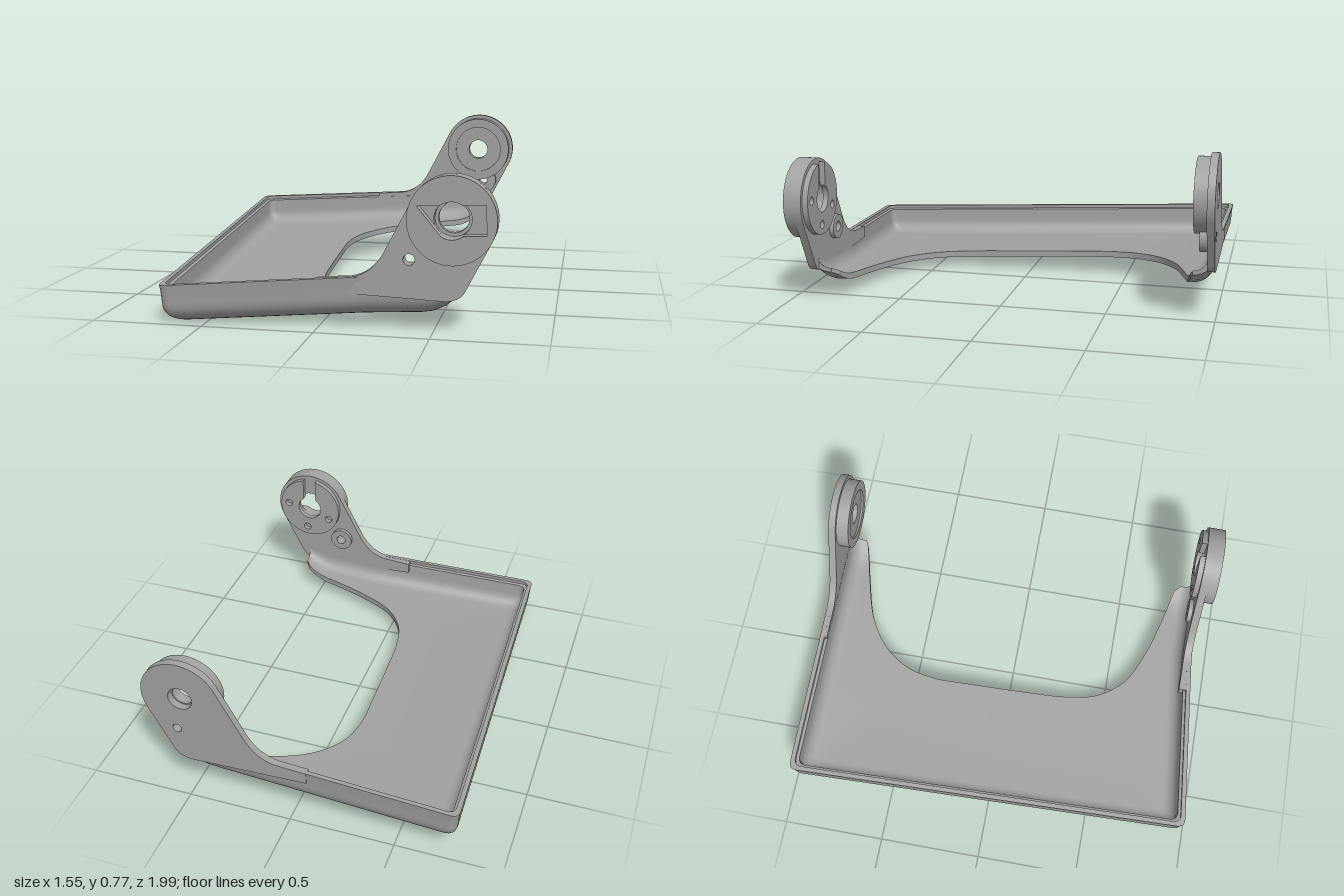
import * as THREE from 'three';
import { toCreasedNormals } from 'three/addons/utils/BufferGeometryUtils.js';

const grey = new THREE.MeshStandardMaterial({ color: 0xa2a2a2 });
grey.name = 'grey plastic';

// the whole tray leans: each step towards the back moves it sideways and up
const leanX = (z) => -0.0425 * (1 - z);
const leanY = (z) => 0.0475 * (1 - z);
const RIM = 0.182, END = 0.6;
const EAR = [0.585, 0.495], EAR_R = 0.19;

function addMesh(parent, name, geometry) {
  const mesh = new THREE.Mesh(toCreasedNormals(geometry, 0.5), grey);
  mesh.name = name;
  parent.add(mesh);
}

// front wall line: tapers in, then runs straight under the ear
const frontWall = (x) => 0.995 - 0.1 * (Math.min(x, 0.2) + 0.7);

// plan outline of the three walls, moved inwards by d
function outline(d) {
  const pts = [], r = 0.04, n = 24, xl = -0.7 + d, zb = -0.995 + d;
  const zf = frontWall(xl) - d;
  const corner = (a, b, c) => {
    const curve = new THREE.QuadraticBezierCurve(a, b, c);
    pts.push(...curve.getPoints(6));
  };
  const V = (x, z) => new THREE.Vector2(x, z);
  for (let i = 0; i < n; i++) pts.push(V(END + (xl + r - END) * i / n, zb));
  corner(V(xl + r, zb), V(xl, zb), V(xl, zb + r));
  for (let i = 1; i < n; i++) pts.push(V(xl, zb + r + (zf - zb - 2 * r) * i / n));
  corner(V(xl, zf - r), V(xl, zf), V(xl + r, frontWall(xl + r) - d));
  for (let i = 1; i <= n; i++) {
    const x = xl + r + (END - xl - r) * i / n;
    pts.push(V(x, frontWall(x) - d));
  }
  return pts;
}

// tray: wall and floor section swept round the outline to the curved cutout
function trayGeometry() {
  const cut = new THREE.CatmullRomCurve3([
    [0.5, -0.885], [0.32, -0.84], [0.12, -0.775], [-0.02, -0.68], [-0.11, -0.55],
    [-0.142, -0.4], [-0.138, -0.2], [-0.125, 0.1], [-0.11, 0.3], [-0.07, 0.46],
    [0.03, 0.59], [0.2, 0.675], [0.38, 0.73], [0.565, 0.775],
  ].map(([x, z]) => new THREE.Vector3(x - leanX(z), 0, z)));

  const outer = [[0, RIM], [0.002, 0.165], [0.003, 0.16]];
  const inner = [[0.022, RIM], [0.022, 0.165], [0.036, 0.16]];
  for (let k = 0; k <= 7; k++) {
    const t = k / 7 * Math.PI / 2, c = Math.cos(t), s = Math.sin(t);
    outer.push([0.1 - 0.092 * c, 0.1 - 0.1 * s]);
    inner.push([0.1 - 0.062 * c, 0.1 - 0.07 * s]);
  }
  outer.push([null, 0]);
  inner.push([null, 0.03]);
  const section = [...outer, ...inner.reverse()];
  const m = section.length, rows = outline(0).length;

  const columns = section.map(([d, h]) => {
    const plan = d === null
      ? Array.from({ length: rows }, (_, i) => {
        const p = cut.getPointAt(i / (rows - 1));
        return new THREE.Vector2(p.x, p.z);
      })
      : outline(d);
    return plan.map((p) => {
      const bend = 0.06 * Math.max(0, (p.x - 0.46) / 0.14) ** 2;
      const y = 0.063 * (p.x + 0.58) + h + bend * (1 - h / RIM);
      return [p.x + leanX(p.y), y + leanY(p.y), p.y];
    });
  });

  const pos = [], index = [];
  for (let i = 0; i < rows; i++) for (let j = 0; j < m; j++) pos.push(...columns[j][i]);
  for (let i = 0; i < rows - 1; i++) {
    for (let j = 0; j < m; j++) {
      const a = i * m + j, b = i * m + (j + 1) % m;
      index.push(a, b, a + m, b, b + m, a + m);
    }
  }
  // end caps
  const last = (rows - 1) * m;
  for (let k = 0; k < m / 2 - 1; k++) {
    const o = k, o2 = k + 1, n = m - 1 - k, n2 = m - 2 - k;
    index.push(o, n, o2, o2, n, n2);
    index.push(last + o, last + o2, last + n, last + o2, last + n2, last + n);
  }
  const g = new THREE.BufferGeometry();
  g.setAttribute('position', new THREE.Float32BufferAttribute(pos, 3));
  g.setIndex(index);
  return g;
}

function circle(x, y, r, Kind = THREE.Path) {
  const p = new Kind();
  p.absarc(x, y, r, 0, Math.PI * 2, false);
  return p;
}

function extrude(shape, z0, z1, holes = []) {
  shape.holes.push(...holes);
  const g = new THREE.ExtrudeGeometry(shape, { depth: z1 - z0, bevelEnabled: false, curveSegments: 40 });
  return g.translate(0, 0, z0);
}

const disc = (x, y, r, z0, z1, holes) => extrude(circle(x, y, r, THREE.Shape), z0, z1, holes);

// arm rising from a side wall to a round ear
function armShape() {
  const [cx, cy] = EAR, a = 0.477;
  const s = new THREE.Shape();
  s.moveTo(0, 0.16);
  s.lineTo(0, 0.217);
  s.lineTo(0.12, 0.225);
  s.quadraticCurveTo(0.225, 0.23, 0.285, 0.33);
  s.absarc(cx, cy, EAR_R, Math.PI - a, -a, true);
  s.lineTo(0.64, 0.185);
  s.quadraticCurveTo(0.615, 0.14, 0.55, 0.14);
  return s;
}

// round hole crossed by a rectangular pocket
function pocket() {
  const r = 0.08, w = 0.145, h = 0.065, a = Math.asin(h / r);
  const p = new THREE.Path();
  p.moveTo(-w, -h);
  p.absarc(0, 0, r, Math.PI + a, 2 * Math.PI - a, false);
  p.lineTo(w, -h);
  p.lineTo(w, h);
  p.absarc(0, 0, r, a, Math.PI - a, false);
  p.lineTo(-w, h);
  p.closePath();
  return p;
}

// ring opened at the top by a slot
function slottedRing(outerR, innerR, halfSlot) {
  const up = Math.PI / 2, a = Math.asin(halfSlot / outerR), b = Math.asin(halfSlot / innerR);
  const s = new THREE.Shape();
  s.absarc(0, 0, outerR, up + a, up - a + Math.PI * 2, false);
  s.absarc(0, 0, innerR, up - b + Math.PI * 2, up + b, true);
  s.closePath();
  return s;
}

export function createModel() {
  const model = new THREE.Group();
  model.name = 'tray cover with two ears';
  addMesh(model, 'tray', trayGeometry());
  const [cx, cy] = EAR;

  // front ear
  const front = new THREE.Group();
  front.name = 'frontEar';
  front.position.set(leanX(0.9), leanY(0.9), 0);
  model.add(front);
  const bx = 0.4, by = 0.315;
  addMesh(front, 'frontArm', extrude(armShape(), 0.867, 0.905,
    [circle(cx, cy, 0.08), circle(bx, by, 0.025)]));
  addMesh(front, 'frontOuterDisc',
    disc(0, 0, EAR_R, 0.905, 0.953, [pocket()]).rotateZ(0.04).translate(cx, cy, 0));
  const screwHoles = [0.1, -1.45, -2.7].map((t) => circle(0.125 * Math.cos(t), 0.125 * Math.sin(t), 0.02));
  addMesh(front, 'frontSlottedRing',
    extrude(slottedRing(0.172, 0.065, 0.035), 0.84, 0.867, screwHoles).translate(cx, cy, 0));
  addMesh(front, 'frontScrewBoss', disc(bx, by, 0.06, 0.845, 0.867, [circle(bx, by, 0.025)]));

  // back ear
  const back = new THREE.Group();
  back.name = 'backEar';
  back.position.set(leanX(-0.99), leanY(-0.99), 0);
  model.add(back);
  const sx = 0.615, sy = 0.315;
  addMesh(back, 'backArm', extrude(armShape(), -0.995, -0.96,
    [circle(cx, cy, 0.058), circle(sx, sy, 0.022)]));
  addMesh(back, 'backOuterRing', disc(cx, cy, 0.172, -0.96, -0.9, [circle(cx, cy, 0.125)]));
  addMesh(back, 'backInnerDisc', disc(cx, cy, 0.125, -0.96, -0.91, [circle(cx, cy, 0.052)]));
  addMesh(back, 'backScrewBoss', disc(sx, sy, 0.07, -0.96, -0.925, [circle(sx, sy, 0.022)]));
  return model;
}
